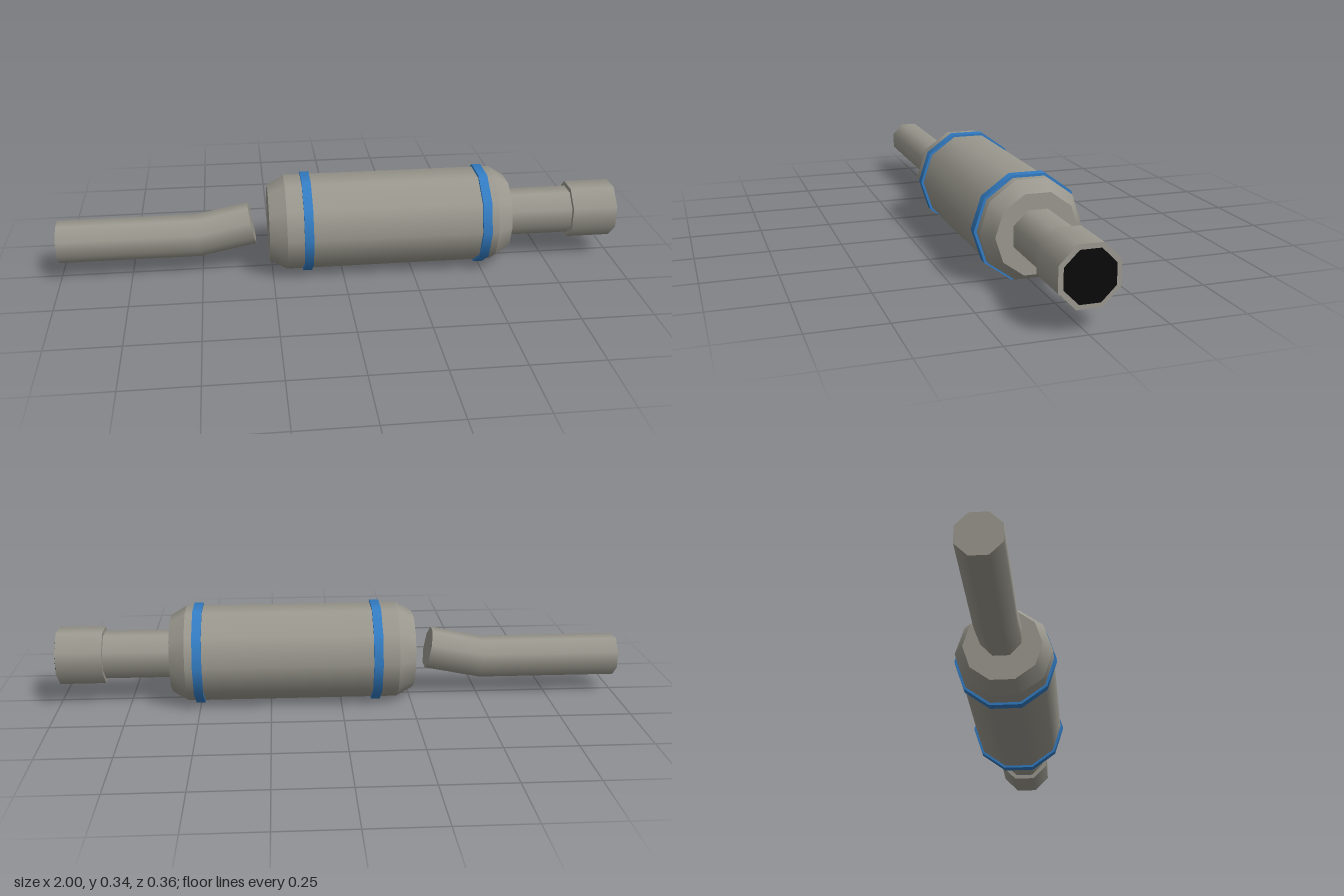
import * as THREE from 'three';

const AXIS_Y = 0.171;

export function createModel() {
  const group = new THREE.Group();
  const mat = (name, color) => {
    const m = new THREE.MeshStandardMaterial({ color });
    m.name = name;
    return m;
  };
  const metal = mat('warm grey metal', 0x9a988e);
  const blue = mat('blue band', 0x337dc4);
  const black = mat('black opening', 0x0a0a0a);

  const add = (name, geometry, material) => {
    const mesh = new THREE.Mesh(geometry, material);
    mesh.name = name;
    group.add(mesh);
  };

  // Cylinder or frustum lying along x, from x0 (radius r0) to x1 (radius r1).
  // Octagons are turned half a step so that their sides are flat on top.
  const tube = (name, x0, x1, r0, r1, sides, material, open = false) => {
    const start = sides === 8 ? Math.PI / 8 : 0;
    const g = new THREE.CylinderGeometry(r1, r0, x1 - x0, sides, 1, open, start);
    g.rotateZ(-Math.PI / 2).translate((x0 + x1) / 2, AXIS_Y, 0);
    add(name, g, material);
  };

  // Canister: straight drum with a bevelled cap at each end
  tube('canisterDrum', -0.2, 0.545, 0.17, 0.17, 10, metal, true);
  tube('canisterRearCap', -0.26, -0.2, 0.137, 0.17, 10, metal);
  tube('canisterFrontCap', 0.545, 0.6, 0.17, 0.137, 10, metal);

  // Clamping bands
  for (const x of [-0.125, 0.502]) tube('band', x - 0.016, x + 0.016, 0.179, 0.179, 10, blue);

  // Outlet neck, wider tip and its dark opening
  tube('outletNeck', 0.58, 0.85, 0.085, 0.085, 8, metal);
  tube('outletTip', 0.835, 0.996, 0.102, 0.102, 8, metal);
  tube('outletOpening', 0.992, 1.0, 0.085, 0.085, 8, black);

  // Inlet pipe: one cylinder whose three rings are moved onto a bent path
  const stations = [
    { x: -1, y: 0.136, tilt: 0 },
    { x: -0.51, y: 0.136, tilt: 0.06 },
    { x: -0.318, y: 0.1755, tilt: 0.185 },
  ];
  const pipe = new THREE.CylinderGeometry(0.075, 0.075, 2, 8, 2, false, Math.PI / 8);
  pipe.rotateZ(-Math.PI / 2);
  const pos = pipe.attributes.position;
  const nor = pipe.attributes.normal;
  const v = new THREE.Vector3();
  const zAxis = new THREE.Vector3(0, 0, 1);
  for (let i = 0; i < pos.count; i++) {
    const s = stations[Math.round(pos.getX(i)) + 1];
    v.set(0, pos.getY(i), pos.getZ(i)).applyAxisAngle(zAxis, s.tilt);
    pos.setXYZ(i, v.x + s.x, v.y + s.y, v.z);
    v.fromBufferAttribute(nor, i).applyAxisAngle(zAxis, s.tilt);
    nor.setXYZ(i, v.x, v.y, v.z);
  }
  add('inletPipe', pipe, metal);

  return group;
}
